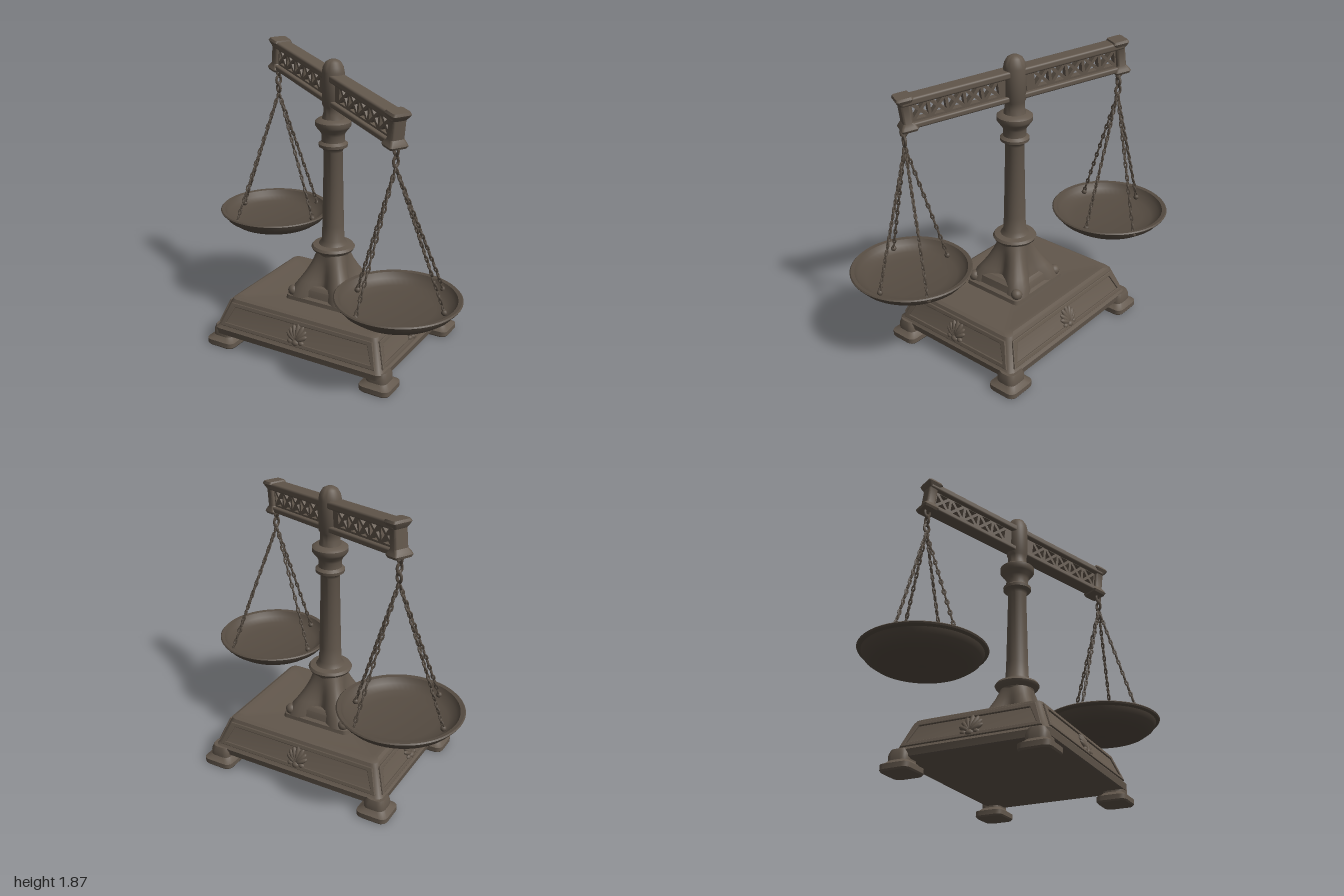
import * as THREE from 'three';
import { mergeGeometries, mergeVertices, toCreasedNormals } from 'three/addons/utils/BufferGeometryUtils.js';
import { RoundedBoxGeometry } from 'three/addons/geometries/RoundedBoxGeometry.js';

const bronze = new THREE.MeshStandardMaterial({ color: 0x62574c });
bronze.name = 'aged bronze';
const darkBronze = new THREE.MeshStandardMaterial({ color: 0x564c42 });
darkBronze.name = 'dark bronze';

const CZ = -0.015; // depth of the column axis

function add(parent, name, geo, mat = bronze, x = 0, y = 0, z = 0) {
  const m = new THREE.Mesh(geo, mat);
  m.name = name;
  m.position.set(x, y, z);
  parent.add(m);
  return m;
}

// Cross-section: rectangle with rounded corners
function rectRing(hx, hz, r) {
  const pts = [];
  [[1, 1], [-1, 1], [-1, -1], [1, -1]].forEach(([sx, sz], c) => {
    for (let i = 0; i <= 4; i++) {
      const a = (c + i / 4) * Math.PI / 2;
      pts.push([sx * (hx - r) + r * Math.cos(a), sz * (hz - r) + r * Math.sin(a)]);
    }
  });
  return pts;
}

// Cross-section: four-pointed star with hollow sides
function starRing(r, k) {
  return Array.from({ length: 48 }, (_, i) => {
    const a = i / 48 * Math.PI * 2, q = r * (1 - k * Math.cos(4 * a));
    return [q * Math.cos(a), q * Math.sin(a)];
  });
}

// Capped skin over a stack of [y, ring] sections
function loft(levels, crease = 0.6) {
  const pos = [], idx = [], n = levels[0][1].length, L = levels.length;
  for (const [y, ring] of levels) for (const [x, z] of ring) pos.push(x, y, z);
  pos.push(0, levels[0][0], 0, 0, levels[L - 1][0], 0);
  for (let i = 0; i < n; i++) {
    const j = (i + 1) % n;
    for (let l = 0; l < L - 1; l++) {
      const a = l * n, b = a + n;
      idx.push(a + i, b + i, a + j, a + j, b + i, b + j);
    }
    idx.push(L * n, i, j, L * n + 1, (L - 1) * n + j, (L - 1) * n + i);
  }
  const g = new THREE.BufferGeometry();
  g.setAttribute('position', new THREE.Float32BufferAttribute(pos, 3));
  g.setIndex(idx);
  return toCreasedNormals(g, crease);
}

const rectLoft = (rows, r) => loft(rows.map(([y, hx, hz]) => [y, rectRing(hx, hz, r)]));

const lathe = (rows, seg = 40) => toCreasedNormals(
  new THREE.LatheGeometry(rows.map(([r, y]) => new THREE.Vector2(r, y)), seg), 0.7);

// Row of interlocking oval links from a to b
function chainGeometry(a, b, spacing, radius, tube) {
  const dir = b.clone().sub(a), n = Math.max(1, Math.round(dir.length() / spacing));
  const q = new THREE.Quaternion().setFromUnitVectors(new THREE.Vector3(0, 1, 0), dir.clone().normalize());
  const half = dir.length() / n / 2 + tube;
  const parts = [];
  for (let i = 0; i < n; i++) {
    const g = new THREE.TorusGeometry(radius, tube, 5, 10);
    g.scale(1, half / (radius + tube), 1);
    g.rotateY(i % 2 * Math.PI / 2 + 0.4);
    g.applyQuaternion(q);
    const p = a.clone().addScaledVector(dir, (i + 0.5) / n);
    g.translate(p.x, p.y, p.z);
    parts.push(g);
  }
  return mergeGeometries(parts);
}

// Raised trapezoid border
function frameGeometry(bottom, top, h, w) {
  const trap = (b, t, y) => [[-b, -y], [b, -y], [t, y], [-t, y]].map(p => new THREE.Vector2(...p));
  const s = new THREE.Shape(trap(bottom, top, h));
  s.holes.push(new THREE.Path(trap(bottom - w * 1.4, top - w * 1.4, h - w).reverse()));
  return new THREE.ExtrudeGeometry(s, { depth: 0.006, bevelSize: 0.004, bevelThickness: 0.004, bevelSegments: 2 });
}

// Fan-shaped shell with scrolls at its foot
function shellGeometry() {
  const parts = [];
  for (let i = -3; i <= 3; i++) {
    const g = new THREE.SphereGeometry(1, 12, 8);
    const len = 0.06 - Math.abs(i) * 0.006;
    g.scale(0.017, len, 0.016);
    g.translate(0, len, 0);
    g.rotateZ(-i * 0.34);
    g.translate(0, -0.045, 0);
    parts.push(g);
  }
  for (const [x, y, s] of [[0, -0.055, 0.026], [-0.04, -0.05, 0.02], [0.04, -0.05, 0.02]]) {
    const g = new THREE.SphereGeometry(s, 12, 8);
    g.scale(1, 0.8, 0.7);
    g.translate(x, y, 0);
    parts.push(g);
  }
  return mergeGeometries(parts);
}

function buildBase(root) {
  const base = new THREE.Group();
  base.name = 'base';
  base.position.z = CZ;
  root.add(base);
  add(base, 'baseBody', rectLoft([[0.075, 0.575, 0.45], [0.085, 0.6, 0.472], [0.125, 0.605, 0.477],
    [0.145, 0.588, 0.458], [0.29, 0.535, 0.4], [0.312, 0.525, 0.39], [0.322, 0.505, 0.37], [0.315, 0.47, 0.335]], 0.04));
  // Frames and shells on the four sloping sides
  for (let i = 0; i < 4; i++) {
    const long = i % 2 === 0;
    const side = new THREE.Group();
    side.name = 'sidePanel';
    side.rotation.y = i * Math.PI / 2;
    const face = new THREE.Group();
    face.position.set(0, 0.2175, long ? 0.429 : 0.5615);
    face.rotation.x = long ? -0.38 : -0.35;
    face.name = 'panelFace';
    side.add(face);
    base.add(side);
    add(face, 'panelFrame', frameGeometry(long ? 0.555 : 0.425, long ? 0.505 : 0.37, 0.076, 0.018));
    add(face, 'shellOrnament', shellGeometry(), bronze, 0, 0, 0.002);
  }
  // Feet
  const foot = rectLoft([[0, 0.095, 0.09], [0.01, 0.102, 0.097], [0.04, 0.102, 0.097], [0.05, 0.085, 0.08],
    [0.065, 0.07, 0.066], [0.1, 0.07, 0.066], [0.13, 0.06, 0.055]], 0.04);
  for (const sx of [-1, 1]) for (const sz of [-1, 1])
    add(base, 'foot', foot, bronze, sx * 0.558, 0, sz * 0.418 - 0.015);
}

function buildColumn(root) {
  const col = new THREE.Group();
  col.name = 'column';
  col.position.set(0.005, 0, CZ);
  root.add(col);
  add(col, 'plinth', rectLoft([[0.31, 0.235, 0.215], [0.34, 0.23, 0.21], [0.35, 0.205, 0.19],
    [0.395, 0.195, 0.18], [0.415, 0.17, 0.16]], 0.03));
  add(col, 'flaredPedestal', loft([[0.34, 0.215, 0.3], [0.4, 0.195, 0.3], [0.44, 0.17, 0.28], [0.49, 0.145, 0.22],
    [0.55, 0.122, 0.13], [0.6, 0.108, 0.05], [0.63, 0.1, 0]].map(([y, r, k]) => [y, starRing(r, k)]), 0.9));
  for (const sx of [-1, 1]) for (const sz of [-1, 1])
    add(col, 'pedestalScroll', new THREE.SphereGeometry(0.036, 14, 10), bronze, sx * 0.19, 0.365, sz * 0.175);
  add(col, 'shaft', lathe([[0, 0.6], [0.1, 0.6], [0.105, 0.62], [0.13, 0.635], [0.138, 0.65], [0.128, 0.665],
    [0.09, 0.672], [0.072, 0.7], [0.068, 0.8], [0.058, 1.28], [0.066, 1.3], [0.088, 1.312], [0.09, 1.33],
    [0.072, 1.345], [0.07, 1.385], [0.08, 1.405], [0.1, 1.43], [0.11, 1.445], [0.11, 1.47], [0.095, 1.482],
    [0.068, 1.488], [0.06, 1.52], [0.06, 1.56], [0.068, 1.575], [0.068, 1.77], [0.062, 1.8], [0.045, 1.83],
    [0.024, 1.842], [0, 1.845]]));
}

// Pierced web: a lattice of triangular openings
function webGeometry(sign) {
  const x0 = 0.06, x1 = 0.65, h = 0.068, cells = 5, w = 0.108;
  const s = new THREE.Shape([[x0, -h], [x1, -h], [x1, h], [x0, h]].map(p => new THREE.Vector2(...p)));
  for (let i = 0; i < cells; i++) {
    const cx = 0.105 + w * (i + 0.5), a = 0.045, b = 0.047, t = 0.013;
    for (const tri of [[[-a + t, b], [a - t, b], [0, t]], [[-a + t, -b], [0, -t], [a - t, -b]],
      [[-a, -b + t], [-a, b - t], [-t, 0]], [[a, -b + t], [t, 0], [a, b - t]]])
      s.holes.push(new THREE.Path(tri.map(([x, y]) => new THREE.Vector2(cx + x, y))));
  }
  const g = new THREE.ExtrudeGeometry(s, { depth: 0.045, bevelEnabled: false });
  g.translate(0, 0, -0.0225);
  if (sign < 0) g.rotateY(Math.PI);
  return g;
}

function buildBeam(root) {
  const beam = new THREE.Group();
  beam.name = 'beam';
  beam.position.set(0, 1.67, CZ);
  beam.rotation.set(0, -0.5, -0.128);
  root.add(beam);
  add(beam, 'topFlange', new RoundedBoxGeometry(1.4, 0.046, 0.105, 3, 0.014), bronze, 0, 0.073, 0);
  add(beam, 'bottomFlange', new RoundedBoxGeometry(1.38, 0.036, 0.095, 3, 0.012), bronze, 0, -0.077, 0);
  const end = rectLoft([[-0.105, 0.046, 0.055], [-0.09, 0.052, 0.062], [-0.075, 0.045, 0.055], [-0.055, 0.03, 0.045],
    [0.055, 0.03, 0.045], [0.075, 0.045, 0.055], [0.09, 0.052, 0.062], [0.105, 0.046, 0.055]], 0.015);
  for (const s of [-1, 1]) {
    add(beam, 'piercedWeb', webGeometry(s));
    add(beam, 'beamEnd', end, bronze, s * 0.675, 0, 0);
  }
}

// Dish hanging on four chains
function buildPan(root, name, cx, cz, y, hook, hookTop, apexY) {
  const g = new THREE.Group();
  g.name = name;
  root.add(g);
  add(g, 'dish', lathe([[0, 0], [0.24, 0.003], [0.29, 0.018], [0.335, 0.05], [0.352, 0.085], [0.372, 0.092],
    [0.377, 0.101], [0.37, 0.108], [0.347, 0.104], [0.328, 0.07], [0.28, 0.045], [0.22, 0.034], [0, 0.03]], 56),
  darkBronze, cx, y, cz);
  const apex = new THREE.Vector3(hook.x, apexY, hook.z);
  add(g, 'hookLinks', chainGeometry(new THREE.Vector3(hook.x, hookTop, hook.z), apex, 0.06, 0.019, 0.009), darkBronze);
  for (const [dx, dz] of [[0.155, -0.295], [0.283, -0.02], [-0.283, -0.03], [-0.12, 0.29]]) {
    const foot = new THREE.Vector3(cx + dx, y + 0.075, cz + dz);
    add(g, 'chain', chainGeometry(apex, foot, 0.043, 0.0085, 0.0055), darkBronze);
    add(g, 'chainAnchor', new THREE.SphereGeometry(0.018, 10, 8), darkBronze, foot.x, foot.y - 0.005, foot.z);
  }
}

export function createModel() {
  const root = new THREE.Group();
  root.name = 'balanceScale';
  buildBase(root);
  buildColumn(root);
  buildBeam(root);
  buildPan(root, 'rightPan', -0.624, -0.305, 0.59, { x: -0.6, z: -0.338 }, 1.67, 1.5);
  buildPan(root, 'leftPan', 0.62, 0.295, 0.472, { x: 0.595, z: 0.318 }, 1.5, 1.37);
  return root;
}
